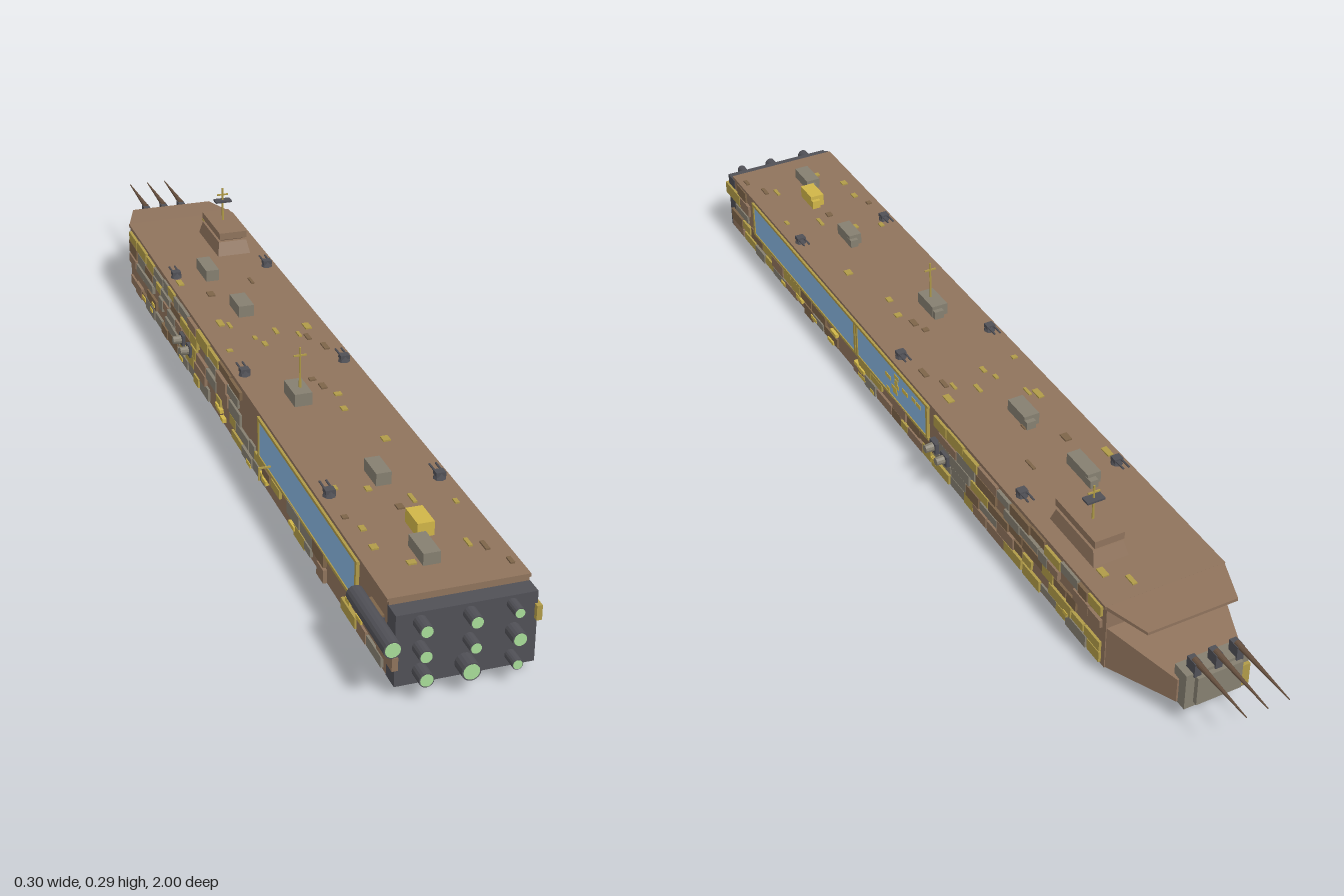
import * as THREE from 'three';

const mat = (color) => new THREE.MeshStandardMaterial({ color, flatShading: true, side: THREE.DoubleSide });
const M = {
  hull: mat(0x8f735c), trim: mat(0x66503f), gold: mat(0xb09b48), yellow: mat(0xd0b548), grey: mat(0x857f70),
  dark: mat(0x505056), glass: mat(0x86b4de), glow: mat(0xa8dc98), rust: mat(0x7d6449),
};

// Small seeded generator
let seed = 7;
const rnd = () => (seed = (seed * 16807) % 2147483647) / 2147483647;
const range = (a, b) => a + (b - a) * rnd();

export function createModel() {
  const root = new THREE.Group();
  const add = (name, geo, m, x = 0, y = 0, z = 0, parent = root) => {
    const mesh = new THREE.Mesh(geo, m);
    mesh.name = name;
    mesh.position.set(x, y, z);
    parent.add(mesh);
    return mesh;
  };
  const box = (name, m, x, y, z, w, h, d, parent) => add(name, new THREE.BoxGeometry(w, h, d), m, x, y, z, parent);
  const group = (name) => {
    const g = new THREE.Group();
    g.name = name;
    root.add(g);
    return g;
  };
  const rod = (name, m, r0, r1, len, x, y, z, parent, sides = 12) =>
    add(name, new THREE.CylinderGeometry(r0, r1, len, sides).rotateX(Math.PI / 2), m, x, y, z, parent);

  // Tapered block between two rectangles [halfWidth, yLow, yHigh] at z0 and z1
  const taper = (name, m, z0, a, z1, b) => {
    const geo = new THREE.BoxGeometry(2, 1, 1);
    const p = geo.attributes.position;
    for (let i = 0; i < p.count; i++) {
      const back = p.getZ(i) > 0;
      const s = back ? a : b;
      p.setXYZ(i, p.getX(i) * s[0], p.getY(i) > 0 ? s[2] : s[1], back ? z0 : z1);
    }
    geo.computeVertexNormals();
    return add(name, geo, m);
  };

  // Main hull, deck and bow
  box('hull', M.hull, 0, 0.092, 0.12, 0.236, 0.138, 1.63);
  box('deck', M.hull, 0, 0.162, 0.12, 0.242, 0.006, 1.63);
  taper('bowDeckPlate', M.hull, -0.69, [0.121, 0.157, 0.165], -0.78, [0.09, 0.157, 0.163]);
  taper('bowWedge', M.hull, -0.69, [0.118, 0.023, 0.115], -0.84, [0.066, 0.045, 0.095]);
  box('noseBlock', M.grey, 0, 0.08, -0.842, 0.125, 0.076, 0.035);
  box('noseCollar', M.grey, 0, 0.082, -0.863, 0.09, 0.06, 0.012);
  for (const x of [-0.05, 0.02]) box('nosePlate', M.gold, x, 0.075, -0.861, 0.025, 0.045, 0.01);

  // Bow lances
  for (const x of [-0.042, 0, 0.042]) {
    box('lanceMount', M.dark, x, 0.126, -0.85, 0.014, 0.03, 0.025);
    rod('lance', M.trim, 0.006, 0.001, 0.15, x, 0.14, -0.925);
  }

  // Keel with sloping sides
  const keel = new THREE.Shape([[-0.08, 0.024], [-0.047, 0.005], [0.047, 0.005], [0.08, 0.024]].map((p) => new THREE.Vector2(...p)));
  add('keel', new THREE.ExtrudeGeometry(keel, { depth: 1.61, bevelEnabled: false }), M.hull, 0, 0, -0.72);
  box('keelBox', M.hull, -0.035, 0.009, 0.72, 0.03, 0.016, 0.06);

  // Stern plate and engines [x, y, radius]
  box('sternPlate', M.dark, 0, 0.088, 0.95, 0.238, 0.13, 0.035);
  const engines = group('engines');
  const nozzle = (x, y, r, z0, z1) => {
    rod('nozzle', M.dark, r * 1.18, r * 1.18, z1 - z0, x, y, (z0 + z1) / 2, engines, 16);
    rod('engineGlow', M.glow, r, r, 0.002, x, y, z1, engines, 16);
  };
  [[-0.079, 0.136, 0.01], [0.004, 0.136, 0.01], [0.075, 0.139, 0.008],
    [-0.079, 0.09, 0.01], [0.004, 0.089, 0.009], [0.078, 0.09, 0.011],
    [-0.077, 0.047, 0.011], [-0.002, 0.047, 0.014], [0.076, 0.044, 0.008],
  ].forEach(([x, y, r]) => nozzle(x, y, r, 0.96, 0.998));
  nozzle(-0.135, 0.115, 0.013, 0.83, 0.999);
  box('boosterStrut', M.dark, -0.12, 0.115, 0.89, 0.02, 0.012, 0.06);

  // Side windows with frames: [side, zFront, zBack]
  const windows = [[1, 0.29, 0.815], [1, -0.035, 0.28], [-1, 0.28, 0.8]];
  for (const [s, z0, z1] of windows) {
    const zc = (z0 + z1) / 2, d = z1 - z0;
    box('window', M.glass, s * 0.119, 0.115, zc, 0.006, 0.07, d);
    for (const y of [0.077, 0.153]) box('windowFrame', M.gold, s * 0.12, y, zc, 0.008, 0.006, d + 0.012);
    for (const z of [z0, z1]) box('windowFrame', M.gold, s * 0.12, 0.115, z, 0.008, 0.08, 0.007);
  }
  for (let i = 0; i < 10; i++) {
    box('windowPatch', M.yellow, 0.121, range(0.085, 0.14), range(-0.02, 0.15), 0.004, 0.009, range(0.01, 0.025));
  }

  // Patchwork armour on both sides, clear of the windows
  const armour = group('armour');
  const tones = [M.gold, M.gold, M.grey, M.rust, M.grey, M.hull];
  for (const s of [-1, 1]) {
    for (let row = 0; row < 5; row++) {
      const y = 0.038 + row * 0.026;
      for (let z = -0.685; z < 0.9;) {
        const d = range(0.03, 0.085);
        const covered = row > 1 && windows.some(([side, a, b]) => side === s && z + d > a - 0.01 && z < b + 0.01);
        const plain = s < 0 && row > 1 && z > 0.1 && z < 0.28;
        if (!covered && !plain && rnd() < 0.86) {
          box('armourPlate', tones[Math.floor(rnd() * tones.length)], s * 0.119, y + range(-0.003, 0.003), z + d / 2,
            range(0.006, 0.013), range(0.016, 0.027), d * 0.94, armour);
        }
        z += d;
      }
    }
    for (let i = 0; i < 14; i++) {
      box('armourPatch', M.yellow, s * 0.122, range(0.03, 0.065), range(-0.6, 0.85), 0.008, 0.008, range(0.012, 0.03), armour);
    }
  }

  // Side pods
  for (const [x, z] of [[0.135, -0.12], [0.135, -0.075], [-0.133, -0.235], [-0.133, -0.18]]) {
    const pod = add('sidePod', new THREE.CylinderGeometry(0.008, 0.01, 0.026, 10).rotateZ(-Math.PI / 2 * Math.sign(x)), M.grey, x, 0.085, z);
    box('podBase', M.dark, -Math.sign(x) * 0.01, 0, 0, 0.012, 0.024, 0.026, pod);
  }
  // Thin hooked aerial on the right
  box('sideAerial', M.gold, -0.132, 0.091, 0.35, 0.026, 0.003, 0.003);
  box('sideAerial', M.gold, -0.144, 0.079, 0.35, 0.003, 0.026, 0.003);

  // Deck houses [x, z, width, height, depth, material]
  [[-0.018, 0.83, 0.03, 0.022, 0.065, M.grey], [0.005, 0.752, 0.03, 0.026, 0.055, M.yellow],
    [0, 0.57, 0.028, 0.024, 0.06, M.grey], [-0.035, 0.245, 0.034, 0.025, 0.065, M.grey],
    [-0.018, -0.165, 0.032, 0.024, 0.065, M.grey], [-0.032, -0.365, 0.028, 0.024, 0.075, M.grey],
  ].forEach(([x, z, w, h, d, m]) => {
    box('deckHouse', m, x, 0.165 + h / 2, z, w, h, d);
    box('deckHouseStep', m, x + 0.006, 0.165 + h * 0.35, z - d * 0.5, w * 0.6, h * 0.7, d * 0.3);
  });
  // Deck hatches
  for (let i = 0; i < 34; i++) {
    box('deckHatch', i % 3 ? M.gold : M.rust, range(-0.105, 0.105), 0.166, range(-0.66, 0.9), range(0.006, 0.015), 0.004, range(0.01, 0.03));
  }

  // Twin gun turrets
  for (const z of [-0.37, 0.12, 0.605]) for (const x of [-0.1, 0.1]) {
    const t = group('turret');
    t.position.set(x, 0.165, z);
    add('turretBase', new THREE.CylinderGeometry(0.008, 0.012, 0.012, 8), M.dark, 0, 0.006, 0, t);
    box('turretHead', M.dark, 0, 0.01, 0, 0.018, 0.008, 0.016, t);
    for (const g of [-0.006, 0.006]) rod('turretBarrel', M.dark, 0.002, 0.002, 0.03, g, 0.011, -0.018, t, 6);
  }

  // Bridge tower
  const tower = add('towerBase', new THREE.CylinderGeometry(0.6, 0.7071, 1, 4).rotateY(Math.PI / 4), M.hull, 0.052, 0.179, -0.525);
  tower.scale.set(0.072, 0.028, 0.15);
  box('towerNeck', M.trim, 0.052, 0.194, -0.525, 0.05, 0.012, 0.11);
  box('towerTop', M.hull, 0.052, 0.207, -0.525, 0.06, 0.015, 0.135);

  // Masts
  const pole = (x, z, y0, y1) => add('mast', new THREE.CylinderGeometry(0.0018, 0.0025, y1 - y0, 6), M.gold, x, (y0 + y1) / 2, z);
  pole(-0.033, 0.25, 0.185, 0.271);
  box('mastCrossbar', M.gold, -0.033, 0.255, 0.25, 0.025, 0.003, 0.003);
  pole(0.052, -0.535, 0.21, 0.288);
  box('mastCrossbar', M.gold, 0.052, 0.273, -0.535, 0.024, 0.003, 0.003);
  box('radarBar', M.dark, 0.052, 0.259, -0.535, 0.036, 0.004, 0.02);

  return root;
}
